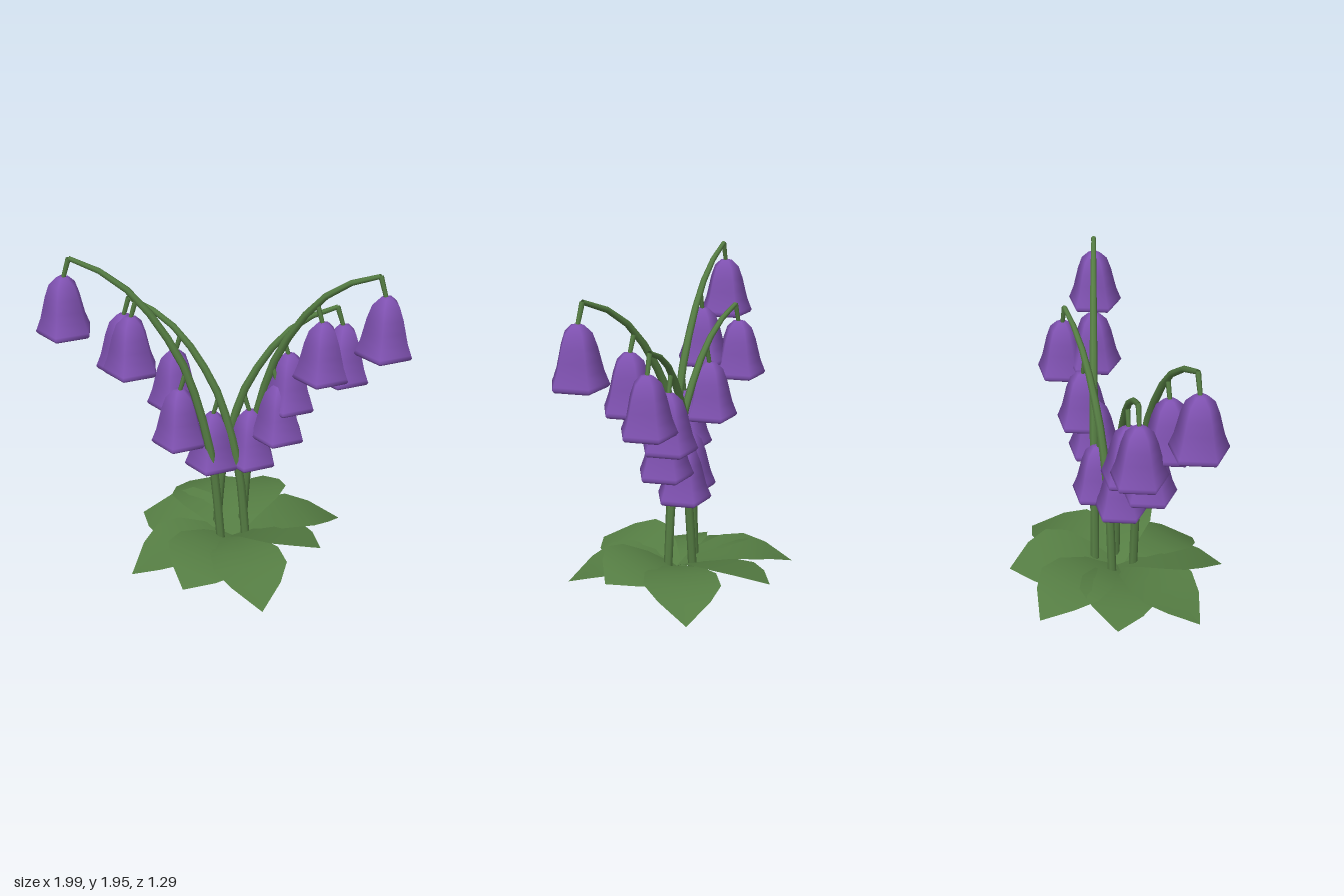
import * as THREE from 'three';

const purple = new THREE.MeshStandardMaterial({ color: 0x8052b2 });
purple.name = 'bell purple';
const green = new THREE.MeshStandardMaterial({ color: 0x557d43, side: THREE.DoubleSide });
green.name = 'leaf green';

function mesh(name, geometry, material) {
  const m = new THREE.Mesh(geometry, material);
  m.name = name;
  return m;
}

// Tube along a curve whose radius shrinks from r0 to r1
function taperedTube(curve, segments, sides, r0, r1) {
  const geo = new THREE.TubeGeometry(curve, segments, 1, sides);
  const pos = geo.attributes.position;
  const v = new THREE.Vector3();
  for (let i = 0; i <= segments; i++) {
    const c = curve.getPointAt(i / segments);
    const r = r0 + (r1 - r0) * (i / segments) ** 3;
    for (let j = 0; j <= sides; j++) {
      const k = i * (sides + 1) + j;
      v.fromBufferAttribute(pos, k).sub(c).multiplyScalar(r).add(c);
      pos.setXYZ(k, v.x, v.y, v.z);
    }
  }
  return geo;
}

// Five-sided bell, its top at the origin, closed underneath
function bellGeometry() {
  const profile = [
    [0, -0.343], [0.158, -0.343], [0.17, -0.328], [0.163, -0.312], [0.139, -0.25],
    [0.124, -0.19], [0.107, -0.12], [0.08, -0.045], [0.036, -0.003], [0, 0.003],
  ].map(([r, y]) => new THREE.Vector2(r, y));
  return new THREE.LatheGeometry(profile, 5, Math.PI / 2);
}

// Arching stem shape: [share of the reach, share of the height]
const ARCH = [
  [0, 0], [0.025, 0.17], [0.065, 0.347], [0.17, 0.558], [0.28, 0.695],
  [0.4, 0.784], [0.55, 0.877], [0.765, 0.955], [1, 1],
];
const BASE_Y = 0.035;

// Height share at a given reach share
function archHeight(f) {
  let i = 1;
  while (i < ARCH.length - 1 && ARCH[i][0] < f) i++;
  const [a, b] = [ARCH[i - 1], ARCH[i]];
  return a[1] + (b[1] - a[1]) * (f - a[0]) / (b[0] - a[0]);
}

// One flower stalk with three hanging bells
function flowerStalk(base, tip, height, bell) {
  const group = new THREE.Group();
  group.name = 'flowerStalk';
  const [bx, bz] = base, dx = tip[0] - bx, dz = tip[1] - bz;
  const at = (f, h) => new THREE.Vector3(bx + dx * f, BASE_Y + height * h, bz + dz * f);
  const curve = new THREE.CatmullRomCurve3(ARCH.map(([f, h]) => at(f, h)));
  group.add(mesh('stem', taperedTube(curve, 12, 7, 0.027, 0.014), green));
  const cap = mesh('stemEnd', new THREE.CircleGeometry(0.027, 7), green);
  cap.rotation.x = Math.PI / 2;
  cap.position.set(bx, BASE_Y, bz);
  group.add(cap);

  const out = new THREE.Vector3(dx, 0, dz).normalize().multiplyScalar(0.04);
  for (const f of [1, 0.56, 0.24]) {
    const start = at(f, archHeight(f));
    const top = start.clone().add(out);
    top.y -= 0.112;
    const end = top.clone();
    end.y -= 0.02;
    group.add(mesh('bellStalk', taperedTube(new THREE.LineCurve3(start, end), 1, 6, 0.015, 0.012), green));
    const flower = mesh('bell', bell, purple);
    flower.position.copy(top);
    group.add(flower);
  }
  return group;
}

// Broad pointed leaf arching from the middle to its tip, rolled about its midrib
function leafGeometry(tip, rise, roll, channel) {
  const root = new THREE.Vector3(-0.04, 0.125, 0);
  const end = new THREE.Vector3(...tip);
  const side = new THREE.Vector3(end.z - root.z, 0, root.x - end.x).normalize();
  const rows = [[0, 0.04], [0.2, 0.13], [0.42, 0.21], [0.62, 0.225], [0.8, 0.15], [1, 0]];
  const positions = [], index = [];
  rows.forEach(([t, w], i) => {
    const c = root.clone().lerp(end, t);
    c.y += rise * 4 * t * (1 - t);
    for (const s of [-1, 0, 1]) {
      const p = c.clone().addScaledVector(side, s * w);
      positions.push(p.x, p.y + w * (Math.abs(s) * channel - s * roll), p.z);
    }
    if (i === 0) return;
    for (let j = 0; j < 2; j++) {
      const a = (i - 1) * 3 + j, b = a + 3;
      index.push(a, b, a + 1, a + 1, b, b + 1);
    }
  });
  const geo = new THREE.BufferGeometry();
  geo.setAttribute('position', new THREE.Float32BufferAttribute(positions, 3));
  geo.setIndex(index);
  geo.computeVertexNormals();
  return geo;
}

export function createModel() {
  const model = new THREE.Group();
  model.name = 'bellflowerPlant';
  const bell = bellGeometry();

  // Two tall and two short stalks leaning to either side
  model.add(
    flowerStalk([-0.055, 0.095], [-0.825, 0.462], 1.905, bell),
    flowerStalk([-0.055, -0.137], [0.785, -0.202], 1.905, bell),
    flowerStalk([0.05, -0.02], [-0.645, 0.155], 1.6, bell),
    flowerStalk([-0.17, -0.02], [0.455, -0.35], 1.6, bell),
  );

  // Leaf rosette: four leaves rolled in a swirl, then four drooping between them
  const swirled = [[0.02, 0.12, 0.645], [0.55, 0.2, -0.05], [-0.2, 0.18, -0.645], [-0.67, 0.115, 0.05]];
  const drooping = [[0.445, 0.005, 0.455], [0.395, 0.08, -0.585], [-0.62, 0.13, -0.41], [-0.43, 0, 0.525]];
  for (const tip of swirled) model.add(mesh('leaf', leafGeometry(tip, 0.075, 0.25, 0), green));
  for (const tip of drooping) model.add(mesh('leaf', leafGeometry(tip, 0.105, 0.05, 0.05), green));
  return model;
}
